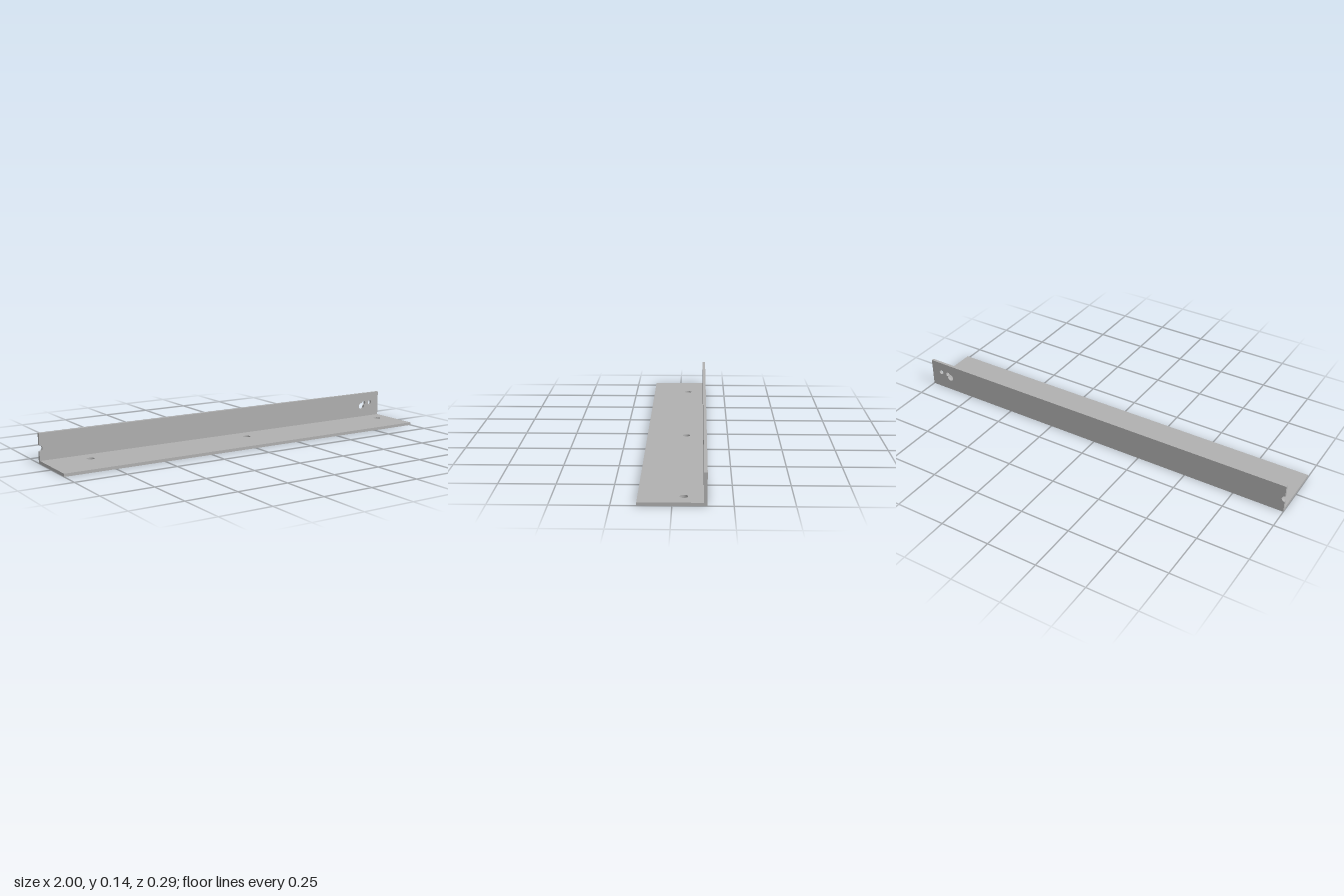
import * as THREE from 'three';

const T = 0.0143;   // sheet thickness
const D = 0.143;    // half depth, also the flange height

// circular hole
function circle(x, y, r) {
  const p = new THREE.Path();
  p.absarc(x, y, r, 0, Math.PI * 2, true);
  return p;
}

// outline of two overlapping circles
function keyhole(ax, ay, R, bx, by, r) {
  const d = Math.hypot(bx - ax, by - ay);
  const dir = Math.atan2(by - ay, bx - ax);
  const a = (d * d + R * R - r * r) / (2 * d);
  const alpha = Math.acos(a / R);
  const beta = Math.acos((a - d) / r);
  const p = new THREE.Path();
  p.absarc(ax, ay, R, dir + alpha, dir - alpha + Math.PI * 2, false);
  p.absarc(bx, by, r, dir - beta, dir + beta, false);
  return p;
}

export function createModel() {
  const group = new THREE.Group();
  group.name = 'angleBracket';
  const metal = new THREE.MeshStandardMaterial({ color: 0xb0b0b0 });
  metal.name = 'grey metal';
  const options = { depth: T, bevelEnabled: false, curveSegments: 24 };

  // horizontal flange with three screw holes
  const base = new THREE.Shape([[-1, -D], [1, -D], [1, D], [-1, D]].map(([x, y]) => new THREE.Vector2(x, y)));
  for (const x of [-0.787, 0.07, 0.927]) base.holes.push(circle(x, 0.047, 0.018));
  const baseMesh = new THREE.Mesh(new THREE.ExtrudeGeometry(base, options).rotateX(-Math.PI / 2), metal);
  baseMesh.name = 'baseFlange';

  // upright flange with a half-round notch at its right end
  const wall = new THREE.Shape();
  wall.moveTo(-1, T);
  wall.lineTo(1, T);
  wall.lineTo(1, D);
  wall.lineTo(-1, D);
  wall.lineTo(-1, 0.087);
  wall.absarc(-1, 0.072, 0.015, Math.PI / 2, -Math.PI / 2, true);
  wall.closePath();
  // keyhole and small hole at the left end
  wall.holes.push(keyhole(0.884, 0.072, 0.018, 0.899, 0.087, 0.012), circle(0.942, 0.087, 0.012));
  const wallMesh = new THREE.Mesh(new THREE.ExtrudeGeometry(wall, options).translate(0, 0, -D), metal);
  wallMesh.name = 'uprightFlange';

  group.add(baseMesh, wallMesh);
  return group;
}
